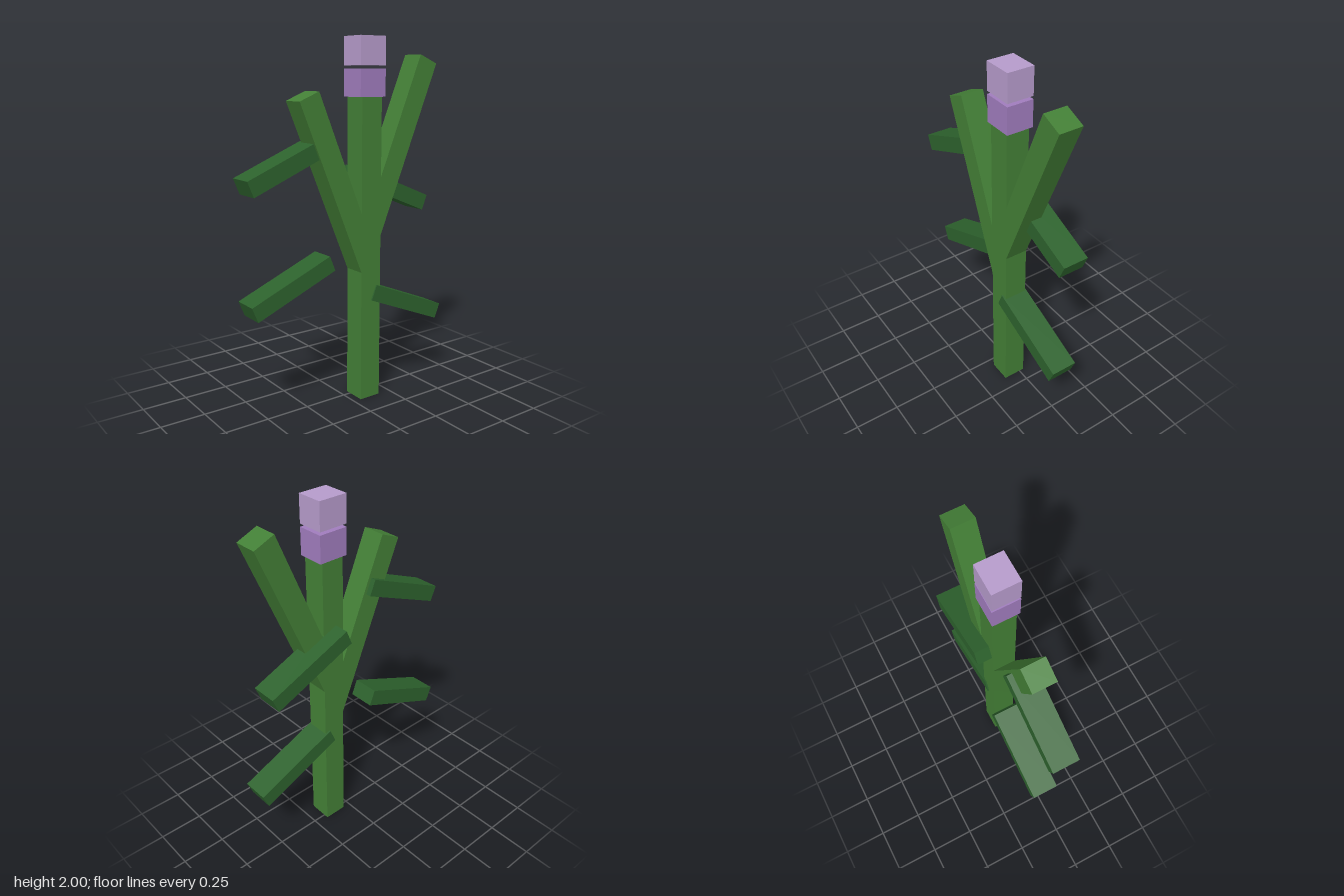
import * as THREE from 'three';

export function createModel() {
  const group = new THREE.Group();
  group.name = 'branchingPlant';

  const material = (name, color) => {
    const m = new THREE.MeshStandardMaterial({ color });
    m.name = name;
    return m;
  };
  const stemGreen = material('stem green', 0x437f36);
  const leafGreen = material('leaf green', 0x2d622d);
  const paleLilac = material('pale lilac', 0xb69bcb);
  const lilac = material('lilac', 0xa07cbd);

  const box = (name, mat, size, position, tilt = 0) => {
    const mesh = new THREE.Mesh(new THREE.BoxGeometry(...size), mat);
    mesh.name = name;
    mesh.position.set(...position);
    mesh.rotation.z = tilt;
    group.add(mesh);
  };

  const axisX = 0.11, axisZ = 0.037, stemWidth = 0.13;
  const tilt = Math.PI / 8;

  // Upright stem
  box('stem', stemGreen, [stemWidth, 1.69, stemWidth], [axisX, 0.845, axisZ]);

  // Two branches forking out of the stem; each starts inside it
  const branchLength = 1.025;
  for (const [name, side, baseY] of [['leftBranch', 1, 0.94], ['rightBranch', -1, 0.75]]) {
    const x = axisX + side * Math.sin(tilt) * branchLength / 2;
    const y = baseY + Math.cos(tilt) * branchLength / 2;
    box(name, stemGreen, [0.125, branchLength, stemWidth], [x, y, axisZ], -side * tilt);
  }

  // Drooping leaves
  const leafSize = [0.52, 0.09, 0.147];
  box('upperRightLeaf', leafGreen, leafSize, [-0.376, 1.36, 0.016], tilt);
  box('lowerRightLeaf', leafGreen, leafSize, [-0.34, 0.705, -0.037], tilt);
  box('upperLeftLeaf', leafGreen, leafSize, [0.315, 1.172, -0.037], -tilt);
  box('lowerLeftLeaf', leafGreen, leafSize, [0.37, 0.517, axisZ], -tilt);

  // Two stacked flower blocks with a small gap between them
  box('lowerFlower', lilac, [0.165, 0.146, 0.147], [axisX, 1.761, axisZ]);
  box('upperFlower', paleLilac, [0.165, 0.15, 0.147], [axisX, 1.925, axisZ]);

  return group;
}
